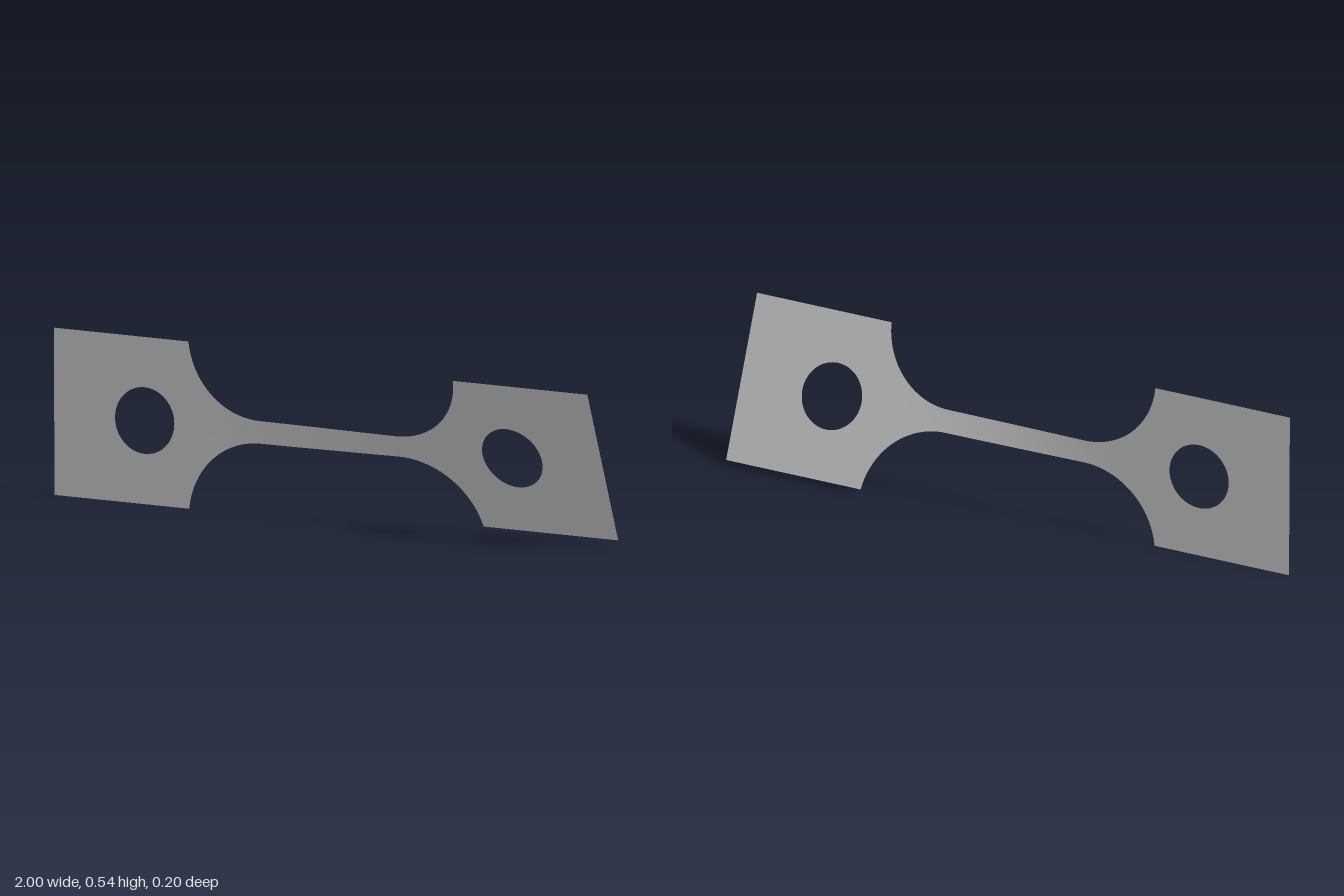
import * as THREE from 'three';

const HALF = 0.271;        // half height of the grip plates
const NECK = 0.037;        // half height of the gauge strip
const FILLET = 0.26;       // fillet radius
const FILLET_X = 0.25;     // where the fillets begin
const GRIP_X = 0.509;      // where the grips begin
const START = THREE.MathUtils.degToRad(0.6);
const END = THREE.MathUtils.degToRad(21.7);

// Twist angle along the length: constant in the grips, growing along the neck
function twist(x) {
  return THREE.MathUtils.lerp(START, END, THREE.MathUtils.smoothstep(x, -0.45, 0.45));
}

// Places a flat point (x, v) on the twisted sheet
function place(x, v) {
  const a = twist(x);
  const drift = 0.0015 * (1 - THREE.MathUtils.smoothstep(x, -0.5, 0.5));
  return [x, HALF + v * Math.cos(a), v * Math.sin(a) + drift];
}

function twistGeometry(geometry) {
  const p = geometry.attributes.position;
  for (let i = 0; i < p.count; i++) p.setXYZ(i, ...place(p.getX(i), p.getY(i)));
  geometry.computeVertexNormals();
  return geometry;
}

// Half height of the waist, with circular fillets
function halfHeight(x) {
  const d = Math.min(Math.max(Math.abs(x) - FILLET_X, 0), FILLET);
  return Math.min(HALF, NECK + FILLET - Math.sqrt(FILLET * FILLET - d * d));
}

// Rectangular grip with a round hole
function gripGeometry(side) {
  const x0 = side < 0 ? -1 : GRIP_X;
  const x1 = side < 0 ? -GRIP_X : 1;
  const shape = new THREE.Shape([
    new THREE.Vector2(x0, -HALF), new THREE.Vector2(x1, -HALF),
    new THREE.Vector2(x1, HALF), new THREE.Vector2(x0, HALF),
  ]);
  const hole = new THREE.Path();
  hole.absarc(side * 0.67, 0, 0.108, 0, Math.PI * 2, true);
  shape.holes.push(hole);
  return twistGeometry(new THREE.ShapeGeometry(shape, 32));
}

// Waist: a subdivided sheet whose height follows the fillets
function waistGeometry() {
  const geometry = new THREE.PlaneGeometry(2, 2, 120, 8);
  const p = geometry.attributes.position;
  for (let i = 0; i < p.count; i++) {
    // Columns crowd toward the steep fillet ends
    const x = GRIP_X * Math.sin(p.getX(i) * Math.PI / 2);
    p.setXY(i, x, p.getY(i) * halfHeight(x));
  }
  return twistGeometry(geometry);
}

export function createModel() {
  const group = new THREE.Group();
  group.name = 'twistedTestStrip';
  const metal = new THREE.MeshStandardMaterial({ color: 0xc0c0c0, side: THREE.DoubleSide });
  metal.name = 'grey metal';

  const add = (name, geometry) => {
    const mesh = new THREE.Mesh(geometry, metal);
    mesh.name = name;
    group.add(mesh);
  };
  add('rightGrip', gripGeometry(-1));
  add('leftGrip', gripGeometry(1));
  add('waist', waistGeometry());
  return group;
}
